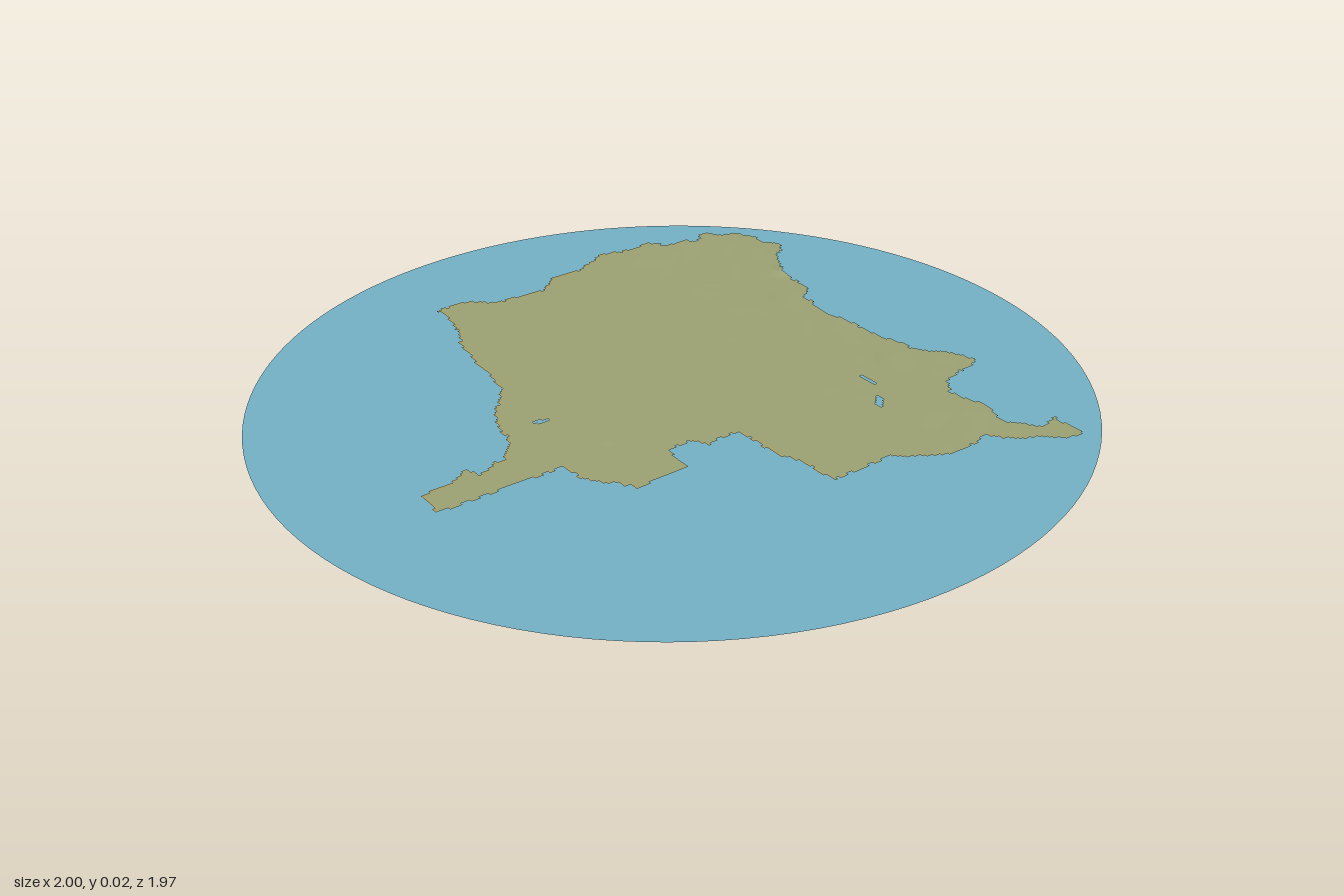
import * as THREE from 'three';

// Land border as x, z pairs, clockwise from the north-west
const BORDER = [
  -0.23, -0.7, -0.16, -0.71, -0.11, -0.68, -0.1, -0.655, 0.05, -0.64, 0.1, -0.69, 0.2, -0.69,
  0.3, -0.74, 0.35, -0.715, 0.45, -0.72, 0.47, -0.68, 0.57, -0.65, 0.6, -0.68, 0.65, -0.64,
  0.7, -0.59, 0.7, -0.53, 0.73, -0.49, 0.68, -0.45, 0.63, -0.37, 0.615, -0.32, 0.6, -0.22,
  0.567, -0.2, 0.555, -0.11, 0.565, -0.02, 0.575, 0.08, 0.59, 0.18, 0.64, 0.24, 0.68, 0.32,
  0.55, 0.35, 0.51, 0.41, 0.535, 0.5, 0.515, 0.58, 0.57, 0.65, 0.62, 0.63, 0.62, 0.72,
  0.58, 0.72, 0.53, 0.68, 0.47, 0.64, 0.43, 0.59, 0.4, 0.61, 0.3, 0.6, 0.245, 0.565,
  0.2, 0.535, 0.11, 0.54, 0.04, 0.54, 0.025, 0.42, 0.005, 0.39, 0.005, 0.25, -0.09, 0.25,
  -0.11, 0.22, -0.175, 0.22, -0.19, 0.3, -0.32, 0.31, -0.36, 0.25, -0.4, 0.2, -0.4, 0.14,
  -0.72, 0.14, -0.71, 0.06, -0.64, 0.055, -0.58, 0.02, -0.57, 0.06, -0.49, 0.03, -0.44, -0.02,
  -0.42, -0.11, -0.385, -0.17, -0.32, -0.25, -0.3, -0.37, -0.28, -0.51, -0.245, -0.57,
];

// Small lakes: x, z, half length, half width, angle
const LAKES = [
  [0.35, 0.335, 0.025, 0.009, -0.9],
  [-0.33, -0.06, 0.02, 0.006, 0.3],
  [0.4, 0.24, 0.025, 0.004, 1.57],
];

const N = 200;
const MIN = -0.76;
const CELL = 1.52 / N;

// Repeatable value noise
const hash = (i, j) => {
  const s = Math.sin(i * 127.1 + j * 311.7) * 43758.5453;
  return s - Math.floor(s);
};
function noise(x, z) {
  const i = Math.floor(x), j = Math.floor(z);
  const u = THREE.MathUtils.smoothstep(x - i, 0, 1);
  const v = THREE.MathUtils.smoothstep(z - j, 0, 1);
  const { lerp } = THREE.MathUtils;
  return lerp(lerp(hash(i, j), hash(i + 1, j), u), lerp(hash(i, j + 1), hash(i + 1, j + 1), u), v);
}

// Low western basin, rising to a mountain chain along the eastern rift
function height(x, z) {
  const { smoothstep } = THREE.MathUtils;
  const along = (x - z) * 0.7, across = (x + z) * 0.7;
  const east = smoothstep(x, 0.25, 0.6);
  const south = smoothstep(z, 0.1, 0.4) * smoothstep(x, 0.05, 0.4);
  const ridges = noise(along * 7, across * 28) - 0.4;
  const peak = 0.013 * Math.exp(-((x - 0.63) ** 2 + (z + 0.35) ** 2) / 0.0006);
  return 0.006 + 0.004 * smoothstep(x, -0.7, 0.4) + 0.003 * east + peak
    + ridges * 0.006 * Math.max(east, south * 0.7)
    + (noise(x * 20, z * 20) - 0.5) * 0.0008;
}

function insideBorder(x, z) {
  let inside = false;
  const n = BORDER.length;
  for (let a = 0, b = n - 2; a < n; b = a, a += 2) {
    const za = BORDER[a + 1], zb = BORDER[b + 1];
    if ((za > z) !== (zb > z) && x < BORDER[a] + ((z - za) / (zb - za)) * (BORDER[b] - BORDER[a])) inside = !inside;
  }
  return inside;
}

function inLake(x, z) {
  return LAKES.some(([cx, cz, l, w, t]) => {
    const dx = x - cx, dz = z - cz, c = Math.cos(t), s = Math.sin(t);
    return ((dx * c + dz * s) / l) ** 2 + ((dz * c - dx * s) / w) ** 2 < 1;
  });
}

// Grid cells within a slightly ragged border form the relief surface
function reliefGeometry() {
  const positions = [], land = [], fringe = [];
  for (let j = 0; j <= N; j++) {
    for (let i = 0; i <= N; i++) {
      const x = MIN + i * CELL, z = MIN + j * CELL;
      positions.push(x, height(x, z), z);
    }
  }
  const filled = (i, j) => {
    const x = MIN + (i + 0.5) * CELL, z = MIN + (j + 0.5) * CELL;
    const rag = 0.012;
    return insideBorder(x + (noise(x * 60, z * 60) - 0.5) * rag, z + (noise(x * 60 + 9, z * 60 + 5) - 0.5) * rag);
  };
  for (let j = 0; j < N; j++) {
    for (let i = 0; i < N; i++) {
      const x = MIN + (i + 0.5) * CELL, z = MIN + (j + 0.5) * CELL;
      if (!filled(i, j) || inLake(x, z)) continue;
      const a = j * (N + 1) + i, b = a + 1, c = a + N + 1, d = c + 1;
      const edge = x < 0.5 && (!filled(i - 1, j) || !filled(i, j - 1));
      (edge ? fringe : land).push(a, c, b, b, c, d);
    }
  }
  const geometry = new THREE.BufferGeometry();
  geometry.setAttribute('position', new THREE.Float32BufferAttribute(positions, 3));
  geometry.setIndex([...land, ...fringe]);
  geometry.addGroup(0, land.length, 0);
  geometry.addGroup(land.length, fringe.length, 1);
  geometry.computeVertexNormals();
  return geometry;
}

export function createModel() {
  const material = (name, color) => {
    const m = new THREE.MeshStandardMaterial({ color, side: THREE.DoubleSide });
    m.name = name;
    return m;
  };
  const water = material('water blue', 0x74b0c6);
  const olive = material('land olive', 0x9ca273);
  const sand = material('border sand', 0xaa9f64);

  const model = new THREE.Group();
  model.name = 'reliefMap';

  // Flat water disc
  const disc = new THREE.Mesh(new THREE.CircleGeometry(1, 128), water);
  disc.name = 'waterDisc';
  disc.rotation.x = -Math.PI / 2;
  disc.scale.y = 0.985;

  // Raised land
  const land = new THREE.Mesh(reliefGeometry(), [olive, sand]);
  land.name = 'landRelief';

  model.add(disc, land);
  return model;
}
